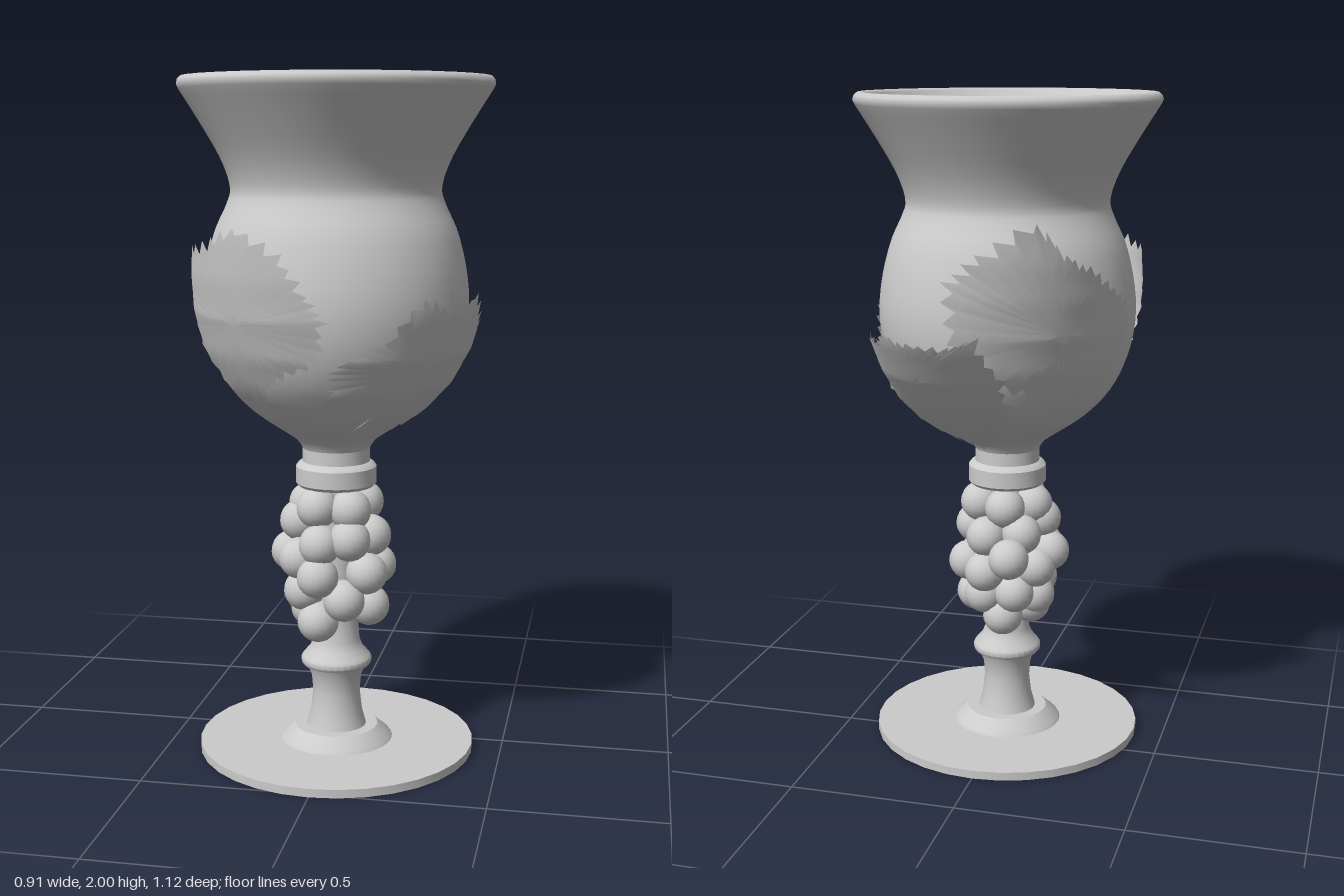
import * as THREE from 'three';
import { toCreasedNormals } from 'three/addons/utils/BufferGeometryUtils.js';

const AXIS_Z = 0.105;
const material = new THREE.MeshStandardMaterial({ color: 0xcccccc });
const leafMaterial = new THREE.MeshStandardMaterial({ color: 0xcccccc, side: THREE.DoubleSide });

// Outer bowl wall, [radius, height], bottom to top
const WALL = [[0.1, 0.925], [0.118, 0.952], [0.165, 0.985], [0.25, 1.045], [0.325, 1.13], [0.37, 1.23],
  [0.388, 1.34], [0.38, 1.45], [0.353, 1.56], [0.317, 1.64], [0.306, 1.69], [0.333, 1.77],
  [0.39, 1.87], [0.45, 1.965]];

function seeded(seed) {
  return () => {
    seed = (seed * 16807) % 2147483647;
    return seed / 2147483647;
  };
}

function wallRadius(y) {
  if (y <= WALL[0][1]) return WALL[0][0];
  for (let i = 1; i < WALL.length; i++) {
    const [r0, y0] = WALL[i - 1], [r1, y1] = WALL[i];
    if (y <= y1) return r0 + (r1 - r0) * (y - y0) / (y1 - y0);
  }
  return WALL[WALL.length - 1][0];
}

function lathe(name, points, crease) {
  const geometry = new THREE.LatheGeometry(points.map(([x, y]) => new THREE.Vector2(x, y)), 32);
  const mesh = new THREE.Mesh(crease ? toCreasedNormals(geometry, crease) : geometry, material);
  mesh.name = name;
  return mesh;
}

// Toothed leaf: outline of [azimuth in degrees, height], filled by rings and wrapped round the bowl.
// It leans out by flare towards the top, less so away from its middle azimuth.
function leaf(name, outline, { gap, flare, power, middle, falloff }, seed) {
  const rand = seeded(seed), rings = 7, teeth = 3;
  const n = outline.length;
  const ca = outline.reduce((s, p) => s + p[0], 0) / n;
  const cy = outline.reduce((s, p) => s + p[1], 0) / n;
  const heights = outline.map((p) => p[1]);
  const low = Math.min(...heights), span = Math.max(...heights) - low;

  const edge = [];
  outline.forEach(([a, y], i) => {
    const [a2, y2] = outline[(i + 1) % n];
    for (let k = 0; k < teeth * 2; k++) {
      const t = (k + (k % 2 ? 0.5 : 0)) / (teeth * 2);
      const s = k % 2 ? 0.9 + rand() * 0.06 : 1 + rand() * 0.07;
      edge.push([(a + (a2 - a) * t - ca) * s, (y + (y2 - y) * t - cy) * s]);
    }
  });

  const positions = [], index = [];
  const place = (a, y) => {
    const t = Math.max(0, (y - low) / span);
    const fade = Math.max(0, 1 - falloff * ((a - middle) / 45) ** 2);
    const r = wallRadius(y) + gap + flare * fade * t ** power;
    const q = THREE.MathUtils.degToRad(a);
    positions.push(r * Math.sin(q), y, r * Math.cos(q));
  };
  place(ca, cy);
  const m = edge.length;
  for (let j = 1; j <= rings; j++) {
    for (const [da, dy] of edge) place(ca + da * j / rings, cy + dy * j / rings);
  }
  for (let i = 0; i < m; i++) {
    const k = (i + 1) % m;
    index.push(0, 1 + i, 1 + k);
    for (let j = 0; j < rings - 1; j++) {
      const a = 1 + j * m + i, b = 1 + j * m + k;
      index.push(a, a + m, b + m, a, b + m, b);
    }
  }
  const geometry = new THREE.BufferGeometry();
  geometry.setAttribute('position', new THREE.Float32BufferAttribute(positions, 3));
  geometry.setIndex(index);
  geometry.computeVertexNormals();
  const mesh = new THREE.Mesh(geometry, leafMaterial);
  mesh.name = name;
  return mesh;
}

// Cluster of berries in uneven rows: [ring radius, [azimuth in degrees, height], ...]
function grapeCluster() {
  const group = new THREE.Group();
  group.name = 'grapeCluster';
  const berry = new THREE.SphereGeometry(0.062, 18, 12);
  const rows = [
    [0.085, [-30, 0.755], [40, 0.75], [118, 0.755], [190, 0.75], [262, 0.75]],
    [0.108, [-16, 0.65], [32, 0.665], [82, 0.665], [158, 0.66], [218, 0.67], [275, 0.7]],
    [0.122, [-16, 0.555], [58, 0.56], [112, 0.56], [160, 0.55], [240, 0.56], [-52, 0.6]],
    [0.1, [-62, 0.495], [24, 0.48], [90, 0.445], [150, 0.47], [207, 0.48], [255, 0.46]],
    [0.08, [-32, 0.405], [185, 0.4], [262, 0.425]],
    [0.17, [196, 0.612]],
    [0.138, [-92, 0.6]],
  ];
  for (const [r, ...berries] of rows) {
    for (const [azimuth, y] of berries) {
      const q = THREE.MathUtils.degToRad(azimuth);
      const mesh = new THREE.Mesh(berry, material);
      mesh.name = 'grape';
      mesh.position.set(r * Math.sin(q), y, r * Math.cos(q));
      group.add(mesh);
    }
  }
  return group;
}

export function createModel() {
  const model = new THREE.Group();
  model.name = 'goblet';
  const body = new THREE.Group();
  body.name = 'body';
  body.position.z = AXIS_Z;
  model.add(body);

  // Foot disc with turned stem and collar
  body.add(lathe('foot', [[0, 0], [0.415, 0], [0.415, 0.025], [0, 0.025]], 0.6));
  body.add(lathe('stem', [[0.17, 0.025], [0.165, 0.033], [0.125, 0.066], [0.09, 0.066], [0.078, 0.11],
    [0.071, 0.17], [0.075, 0.22], [0.088, 0.252], [0.1, 0.256], [0.106, 0.265], [0.106, 0.278],
    [0.1, 0.287], [0.08, 0.31], [0.07, 0.335], [0.065, 0.4], [0.06, 0.6], [0.06, 0.815]], 0.6));
  body.add(lathe('collar', [[0, 0.81], [0.11, 0.81], [0.12, 0.82], [0.12, 0.87], [0.112, 0.88],
    [0.1, 0.885], [0.1, 0.935]], 0.6));

  // Bowl: outer wall, rounded rim, then the inner wall down to the bottom
  const curve = new THREE.SplineCurve(WALL.map(([x, y]) => new THREE.Vector2(x, y)));
  const outer = curve.getPoints(40).map((p) => [p.x, p.y]);
  const rim = [[0.456, 1.978], [0.453, 1.99], [0.443, 2], [0.428, 2], [0.418, 1.992]];
  const inner = [[0.356, 1.88], [0.299, 1.78], [0.271, 1.69], [0.282, 1.64], [0.318, 1.56], [0.346, 1.45],
    [0.353, 1.34], [0.336, 1.24], [0.29, 1.14], [0.215, 1.065], [0.12, 1.03], [0, 1.02]];
  body.add(lathe('bowl', [...outer, ...rim, ...inner]));

  body.add(grapeCluster());

  // Four leaves wrapped round the bowl
  body.add(leaf('frontLeaf', [[-32, 1.02], [-26, 1.11], [-13, 1.18], [4, 1.23], [6, 1.34], [0, 1.41],
    [-8, 1.52], [-25, 1.59], [-40, 1.54], [-62, 1.52], [-66, 1.4], [-62, 1.25], [-48, 1.11]],
  { gap: 0.015, flare: 0.115, power: 2, middle: -27, falloff: 0.8 }, 7));
  body.add(leaf('sideLeaf', [[45, 0.98], [20, 0.99], [4, 1.09], [7, 1.18], [14, 1.24], [30, 1.28], [44, 1.4],
    [58, 1.35], [76, 1.4], [88, 1.31], [101, 1.23], [106, 1.09], [75, 1.01]],
  { gap: 0.012, flare: 0.045, power: 2, middle: 60, falloff: 0.2 }, 19));
  body.add(leaf('backLeaf', [[172, 0.95], [150, 1.02], [127, 1.14], [132, 1.27], [141, 1.33], [155, 1.33],
    [161, 1.37], [169, 1.35], [180, 1.35], [187, 1.38], [193, 1.25], [196, 1.12], [186, 1.0]],
  { gap: 0.045, flare: 0.24, power: 1.2, middle: 184, falloff: 0.8 }, 33));
  body.add(leaf('backSideLeaf', [[223, 1.03], [214, 1.13], [190, 1.2], [174, 1.32], [172, 1.5], [186, 1.57],
    [203, 1.67], [213, 1.58], [222, 1.54], [235, 1.47], [249, 1.4], [250, 1.27], [240, 1.16], [230, 1.09]],
  { gap: 0.015, flare: 0.21, power: 2, middle: 200, falloff: 0.5 }, 57));

  return model;
}
